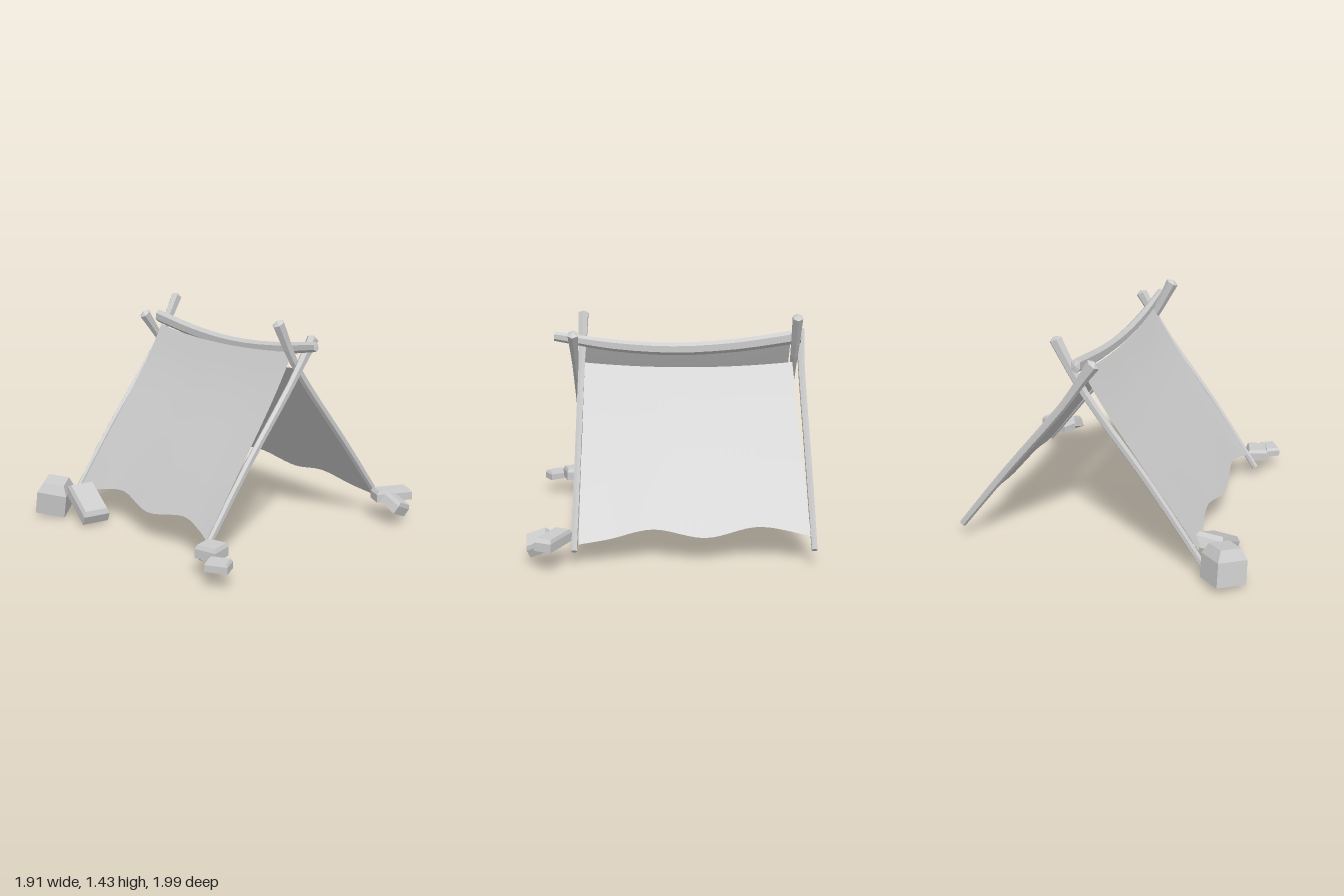
import * as THREE from 'three';

const wood = new THREE.MeshStandardMaterial({ color: 0xcccccc, flatShading: true });
const fabric = new THREE.MeshStandardMaterial({ color: 0xcccccc, side: THREE.DoubleSide });
const V = (x, y, z) => new THREE.Vector3(x, y, z);

// A six-sided branch swept along points; radii run from start to end.
function branch(name, points, radii, side, squash, startTip, endTip) {
  const curve = new THREE.CatmullRomCurve3(points);
  const geo = new THREE.CylinderGeometry(1, 1, 1, 6, 12);
  const pos = geo.attributes.position;
  const v = new THREE.Vector3();
  for (let i = 0; i < pos.count; i++) {
    v.fromBufferAttribute(pos, i);
    const t = THREE.MathUtils.clamp(v.y + 0.5, 0, 1);
    const k = t * (radii.length - 1);
    const j = Math.min(Math.floor(k), radii.length - 2);
    const r = THREE.MathUtils.lerp(radii[j], radii[j + 1], k - j);
    const T = curve.getTangent(t);
    const B = side.clone().cross(T).normalize();
    const p = curve.getPoint(t).addScaledVector(side, v.x * r * squash).addScaledVector(B, v.z * r);
    // cap centres become blunt points
    if (Math.hypot(v.x, v.z) < 0.01) p.addScaledVector(T, t > 0.5 ? endTip : -startTip);
    pos.setXYZ(i, p.x, p.y, p.z);
  }
  geo.computeVertexNormals();
  const mesh = new THREE.Mesh(geo, wood);
  mesh.name = name;
  return mesh;
}

// Sheet from a bottom edge curve up to a sagging top edge, bent through a middle line.
function sheet(name, bottom, topEnds, sag, bend) {
  const edge = new THREE.CatmullRomCurve3(bottom);
  const geo = new THREE.PlaneGeometry(1, 1, 32, 10);
  const pos = geo.attributes.position, uv = geo.attributes.uv;
  for (let i = 0; i < pos.count; i++) {
    const u = uv.getX(i), t = uv.getY(i);
    const s = 4 * u * (1 - u);
    const low = edge.getPoint(u);
    const top = topEnds[0].clone().lerp(topEnds[1], u);
    top.y -= sag * s;
    top.z += Math.sign(top.z + 0.07) * sag * 0.6 * s;
    const p = low.lerp(top, t);
    p.z -= bend * Math.sin(Math.PI * t * t);
    pos.setXYZ(i, p.x, p.y, p.z);
  }
  geo.computeVertexNormals();
  const mesh = new THREE.Mesh(geo, fabric);
  mesh.name = name;
  return mesh;
}

// Boulder: a box whose top ring is drawn in to form a chamfer.
function stone(name, size, at, turn, inset) {
  const [w, h, d] = size;
  const geo = new THREE.BoxGeometry(w, h, d, 1, 2, 1);
  const pos = geo.attributes.position;
  for (let i = 0; i < pos.count; i++) {
    const y = pos.getY(i);
    if (y > h * 0.4) {
      pos.setX(i, pos.getX(i) * inset);
      pos.setZ(i, pos.getZ(i) * inset);
    } else if (Math.abs(y) < 0.001) pos.setY(i, h * 0.2);
  }
  geo.computeVertexNormals();
  const mesh = new THREE.Mesh(geo, wood);
  mesh.name = name;
  mesh.position.set(...at);
  mesh.rotation.set(turn[0], turn[1], turn[2], 'YXZ');
  return mesh;
}

export function createModel() {
  const group = new THREE.Group();
  group.name = 'leanToTent';

  // Crossed legs: name, x at foot, x at head, then z,y of the head, front or back
  const frontPath = [[0.72, 0.09], [0.36, 0.6], [0.05, 1.0], [-0.06, 1.16]];
  const backPath = [[-0.87, 0.11], [-0.53, 0.55], [-0.15, 1.02], [-0.04, 1.18]];
  const legs = [
    ['frontRightLeg', -0.785, -0.785, -0.2, 1.42, frontPath],
    ['frontLeftLeg', 0.63, 0.645, -0.155, 1.31, frontPath],
    ['backRightLeg', -0.825, -0.832, 0.05, 1.31, backPath],
    ['backLeftLeg', 0.602, 0.59, 0.085, 1.42, backPath],
  ];
  for (const [name, x0, x1, z, y, path] of legs) {
    const pts = path.map(([pz, py], i) => V(x0 + (x1 - x0) * i / 4, py, pz));
    pts.push(V(x1, y, z));
    group.add(branch(name, pts, [0.022, 0.025, 0.026, 0.027, 0.028, 0.034, 0.042],
      V(1, 0, 0), 0.85, 0.005, 0.02));
  }

  // Sagging ridge pole
  group.add(branch('ridgePole',
    [V(-0.82, 1.285, -0.065), V(-0.4, 1.225, -0.067), V(0, 1.203, -0.065), V(0.4, 1.228, -0.06), V(0.77, 1.287, -0.058)],
    [0.045, 0.043, 0.041, 0.039, 0.03], V(0, 0, 1), 0.7, 0.01, 0.003));

  // Two cloth sheets with wavy lower hems
  group.add(sheet('frontSheet',
    [V(-0.755, 0.165, 0.68), V(-0.55, 0.205, 0.65), V(-0.32, 0.245, 0.617), V(0, 0.195, 0.655),
      V(0.34, 0.25, 0.615), V(0.5, 0.22, 0.635), V(0.62, 0.185, 0.665)],
    [V(-0.76, 1.23, -0.045), V(0.58, 1.23, -0.045)], 0.035, 0.02));
  group.add(sheet('backSheet',
    [V(-0.81, 0.18, -0.815), V(-0.5, 0.225, -0.777), V(-0.18, 0.17, -0.815), V(0.14, 0.215, -0.785),
      V(0.4, 0.165, -0.815), V(0.58, 0.14, -0.835)],
    [V(-0.77, 1.12, -0.092), V(0.575, 1.12, -0.092)], 0.03, 0));

  // Anchor stones around three of the feet
  group.add(stone('bigStone', [0.2, 0.22, 0.2], [-0.805, 0.145, 0.85], [0.12, 0.76, -0.15], 0.7));
  group.add(stone('slabStone', [0.31, 0.095, 0.18], [-0.555, 0.135, 0.745], [0, -0.16, -0.46], 0.85));
  group.add(stone('frontStone', [0.145, 0.08, 0.14], [0.72, 0.175, 0.71], [0, 0.3, 0], 0.85));
  group.add(stone('frontSmallStone', [0.14, 0.06, 0.1], [0.86, 0.145, 0.775], [0, 0.56, 0], 0.85));
  group.add(stone('backLongStone', [0.11, 0.075, 0.255], [0.725, 0.18, -0.855], [0, -0.43, 0], 0.85));
  group.add(stone('backTiltedStone', [0.14, 0.085, 0.13], [0.82, 0.145, -0.79], [-0.4, 0.1, -0.4], 0.85));
  return group;
}
